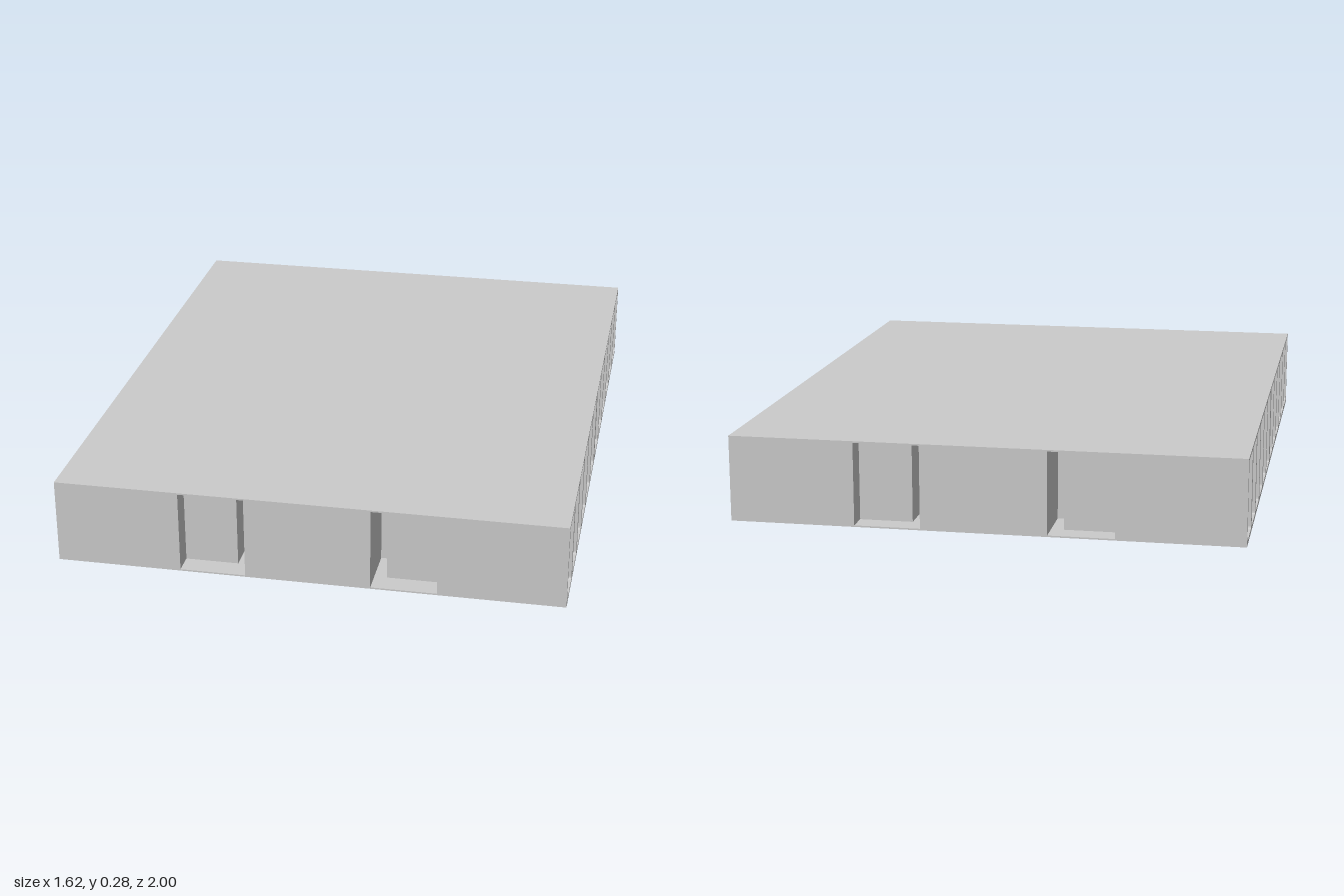
import * as THREE from 'three';

const W = 0.81, D = 1, H = 0.275, SLAB = 0.005, T = 0.012, RECESS = 0.93;
const material = new THREE.MeshStandardMaterial({ color: 0xcccccc, flatShading: true });

// Box given by its limits on each axis
function box(parent, name, x0, x1, y0, y1, z0, z1) {
  const mesh = new THREE.Mesh(new THREE.BoxGeometry(x1 - x0, y1 - y0, z1 - z0), material);
  mesh.position.set((x0 + x1) / 2, (y0 + y1) / 2, (z0 + z1) / 2);
  mesh.name = name;
  parent.add(mesh);
}

// Wall standing between floor and ceiling
function wall(parent, name, x0, x1, z0, z1) {
  box(parent, name, x0, x1, SLAB, H - SLAB, z0, z1);
}

function roundedWindow(cx, w, y0, y1, r) {
  const p = new THREE.Path();
  const x0 = cx - w / 2, x1 = cx + w / 2;
  p.moveTo(x0 + r, y0);
  p.lineTo(x1 - r, y0);
  p.quadraticCurveTo(x1, y0, x1, y0 + r);
  p.lineTo(x1, y1 - r);
  p.quadraticCurveTo(x1, y1, x1 - r, y1);
  p.lineTo(x0 + r, y1);
  p.quadraticCurveTo(x0, y1, x0, y1 - r);
  p.lineTo(x0, y0 + r);
  p.quadraticCurveTo(x0, y0, x0 + r, y0);
  return p;
}

// Long facade with twelve deep window openings and panes behind them
function windowFacade() {
  const facade = new THREE.Group();
  const depth = 0.03;
  const shape = new THREE.Shape();
  shape.moveTo(-D, SLAB);
  shape.lineTo(D, SLAB);
  shape.lineTo(D, H - SLAB);
  shape.lineTo(-D, H - SLAB);
  shape.closePath();
  for (const s of [-1, 1]) {
    for (let i = 0; i < 6; i++) {
      shape.holes.push(roundedWindow(s * (0.09 + i * 0.165), 0.139, 0.014, 0.266, 0.008));
    }
  }
  const geometry = new THREE.ExtrudeGeometry(shape, { depth, bevelEnabled: false, curveSegments: 3 });
  geometry.rotateY(Math.PI / 2);
  geometry.translate(W - depth, 0, 0);
  const frame = new THREE.Mesh(geometry, material);
  frame.name = 'windowFrame';
  facade.add(frame);
  wall(facade, 'windowPanes', W - depth - 0.006, W - depth, -D, D);
  return facade;
}

// End wall (towards +z) of one half: outer wall, entrance recess, corridor door
function entrance() {
  const end = new THREE.Group();
  wall(end, 'outerEndWall', 0.41, W - 0.03, D - T, D);
  wall(end, 'recessSideWall', 0.41, 0.41 + T, RECESS - T, D - T);
  wall(end, 'recessBackWall', 0.24, 0.41, RECESS - T, RECESS);
  box(end, 'corridorDoor', 0.2, 0.24, SLAB, 0.255, 0.80, 0.81);
  box(end, 'doorHeader', 0.2, 0.24, 0.255, H - SLAB, 0.80, 0.82);
  return end;
}

export function createModel() {
  const model = new THREE.Group();
  model.name = 'buildingStorey';

  box(model, 'floorSlab', -W, W, 0, SLAB, -D, D);
  box(model, 'ceilingSlab', -W, W, H - SLAB, H, -D, D);

  // Facades: the second is the first turned half way round
  for (const turn of [0, Math.PI]) {
    const facade = windowFacade();
    facade.name = turn ? 'rightFacade' : 'leftFacade';
    facade.rotation.y = turn;
    model.add(facade);
  }

  for (const s of [-1, 1]) {
    // Middle end walls and the walls along both corridors
    const z = s * (D - T / 2);
    wall(model, 'middleEndWall', -0.2, 0.2, z - T / 2, z + T / 2);
    const inner = s * (0.2 - T / 2), outer = s * (0.24 + T / 2);
    wall(model, 'innerCorridorWall', inner - T / 2, inner + T / 2, -D + T, D - T);
    wall(model, 'outerCorridorWall', outer - T / 2, outer + T / 2, -RECESS + T, RECESS - T);

    // Entrances at front and back, mirrored across both axes
    for (const e of [-1, 1]) {
      const end = entrance();
      end.name = e > 0 ? 'frontEntrance' : 'backEntrance';
      end.scale.set(s, 1, e);
      model.add(end);
    }
  }

  // Partitions between the rooms, interrupted by the corridors
  for (const z of [-0.5, -0.17, 0.17, 0.5]) {
    for (const [x0, x1] of [[-0.774, -0.252], [-0.188, 0.188], [0.252, 0.774]]) {
      wall(model, 'roomPartition', x0, x1, z - T / 2, z + T / 2);
    }
  }
  return model;
}
